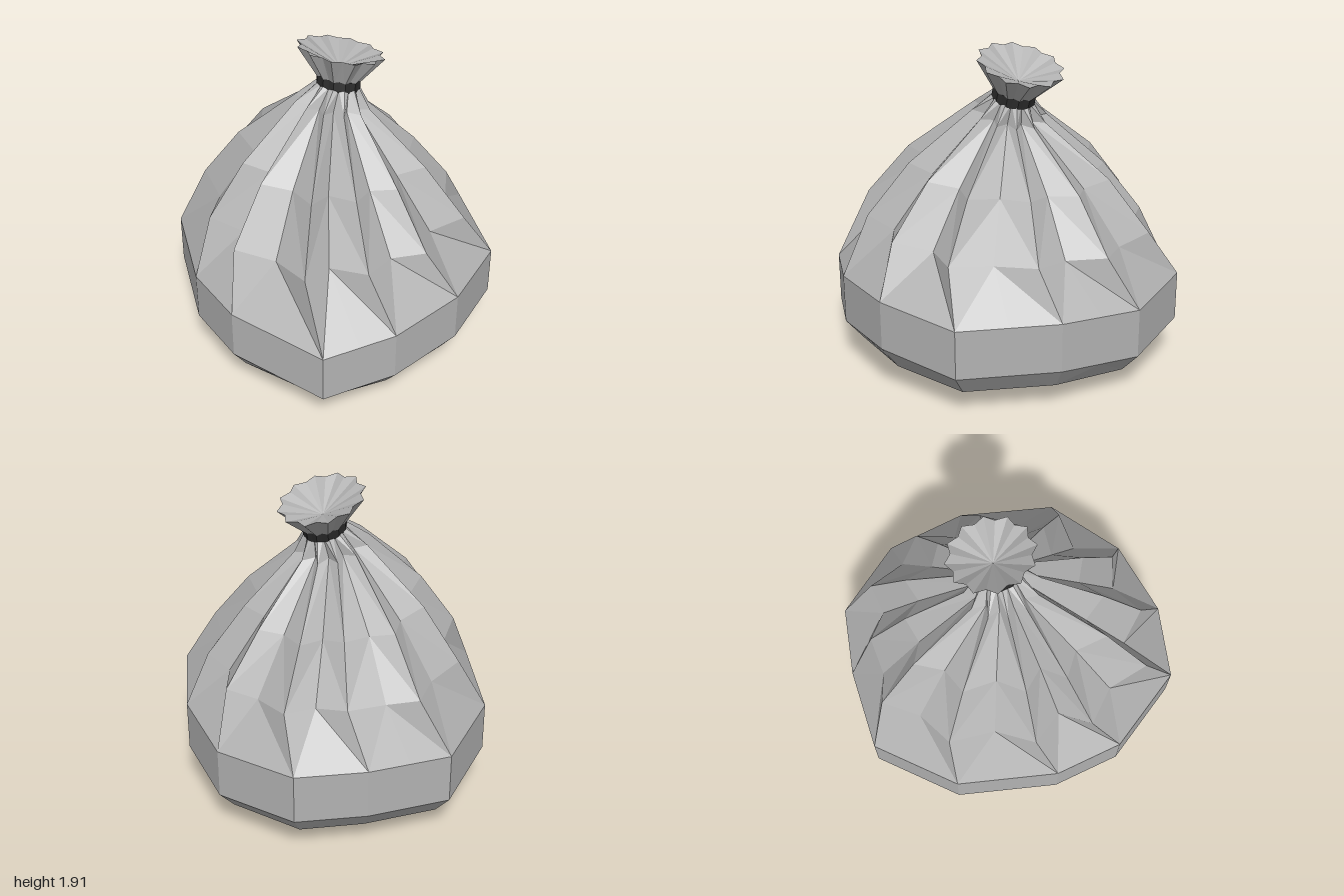
import * as THREE from 'three';

const N = 24; // even columns are ridges, odd columns are grooves

// Widest outline of the bag: x, height, z
const rim = [
  [-0.03, 0.63, 1], [0.48, 0.6, 0.89], [0.83, 0.605, 0.41], [0.97, 0.57, -0.07],
  [0.83, 0.585, -0.57], [0.48, 0.58, -0.8], [0.03, 0.58, -1], [-0.49, 0.6, -0.78],
  [-0.85, 0.62, -0.29], [-0.97, 0.63, 0.11], [-0.85, 0.54, 0.68], [-0.49, 0.6, 0.91],
];
// Foot of the groove that follows each rim corner: x, z
const grooves = [
  [0.09, 0.7], [0.44, 0.56], [0.65, 0.21], [0.73, -0.15], [0.56, -0.45], [0.26, -0.7],
  [-0.09, -0.71], [-0.46, -0.45], [-0.63, -0.1], [-0.72, 0.23], [-0.57, 0.49], [-0.27, 0.69],
];

// Ring that follows the rim outline, with straight sides between corners
function outlineRing(scaleX, scaleZ, height, dz = 0) {
  const corners = rim.map(([x, y, z]) => [x * scaleX, height(y), z * scaleZ + dz]);
  return corners.flatMap((p, i) => {
    const q = corners[(i + 1) % corners.length];
    return [p, p.map((v, k) => (v + q[k]) / 2)];
  });
}

// Pleated ring: ridges lean round from the rim corners, towards the groove before them
function pleatRing(ridgeScale, grooveScale, y, slope) {
  const lean = THREE.MathUtils.degToRad(-6.5);
  return rim.flatMap(([x, , z], i) => {
    const a = Math.atan2(x, z) + lean;
    const r = Math.hypot(x, z) * ridgeScale;
    const rx = Math.sin(a) * r;
    const [gx, gz] = grooves[i].map((v) => v * grooveScale);
    return [
      [rx, y + slope * rx, Math.cos(a) * r],
      [gx, y - 0.02 + slope * gx, gz],
    ];
  });
}

// Tilted, even star ring around the neck
function starRing(outer, inner, cx, y, cz, slope) {
  return Array.from({ length: N }, (_, j) => {
    const a = (j / N) * Math.PI * 2 - 0.05;
    const r = j % 2 ? inner : outer;
    return [cx + Math.sin(a) * r, y + slope * Math.sin(a) * r, cz + Math.cos(a) * r];
  });
}

// Skin over rings from bottom to top, with optional closing points
function loft(rings, { bottom, top } = {}) {
  const pos = [];
  const tri = (a, b, c) => pos.push(...a, ...b, ...c);
  for (let k = 0; k < rings.length - 1; k++) {
    const lo = rings[k], hi = rings[k + 1];
    for (let j = 0; j < N; j++) {
      const n = (j + 1) % N;
      if (j % 2 === 0) {
        tri(lo[j], lo[n], hi[n]);
        tri(lo[j], hi[n], hi[j]);
      } else {
        tri(lo[j], lo[n], hi[j]);
        tri(lo[n], hi[n], hi[j]);
      }
    }
  }
  const first = rings[0], last = rings[rings.length - 1];
  for (let j = 0; j < N; j++) {
    const n = (j + 1) % N;
    if (bottom) tri(bottom, first[n], first[j]);
    if (top) tri(last[j], last[n], top);
  }
  const g = new THREE.BufferGeometry();
  g.setAttribute('position', new THREE.Float32BufferAttribute(pos, 3));
  g.computeVertexNormals();
  return g;
}

export function createModel() {
  const model = new THREE.Group();
  model.name = 'tiedBag';

  const bagGrey = new THREE.MeshStandardMaterial({ color: 0xb2b2b2, flatShading: true });
  bagGrey.name = 'bagGrey';
  const tieBlack = new THREE.MeshStandardMaterial({ color: 0x2a2a2a, flatShading: true });
  tieBlack.name = 'tieBlack';

  const add = (name, geometry, material) => {
    const mesh = new THREE.Mesh(geometry, material);
    mesh.name = name;
    model.add(mesh);
  };

  // Sagging body: flat base, straight side band, pleats gathered to the neck
  add('bagBody', loft([
    outlineRing(0.585, 0.645, () => 0, -0.04),
    outlineRing(0.89, 0.89, (y) => 0.15 + (y - 0.58) * 0.5),
    outlineRing(1, 1, (y) => y - 0.3),
    outlineRing(1, 1, (y) => y),
    pleatRing(0.835, 1, 0.91, -0.045),
    pleatRing(0.59, 0.67, 1.22, -0.08),
    starRing(0.22, 0.155, 0.01, 1.54, 0.03, -0.22),
    starRing(0.122, 0.108, 0.05, 1.65, 0.04, -0.25),
  ], { bottom: [0, 0, -0.04] }), bagGrey);

  // Dark tie around the neck
  add('tie', loft([
    starRing(0.11, 0.1, 0.05, 1.63, 0.04, -0.25),
    starRing(0.128, 0.12, 0.05, 1.63, 0.04, -0.25),
    starRing(0.128, 0.12, 0.062, 1.69, 0.035, -0.28),
    starRing(0.11, 0.1, 0.062, 1.69, 0.035, -0.28),
  ]), tieBlack);

  // Flared top, folding inward to a pleated funnel
  add('flaredTop', loft([
    starRing(0.118, 0.105, 0.058, 1.67, 0.035, -0.28),
    starRing(0.255, 0.222, 0.095, 1.84, 0.022, -0.28),
  ], { top: [0.08, 1.74, 0.025] }), bagGrey);

  return model;
}
